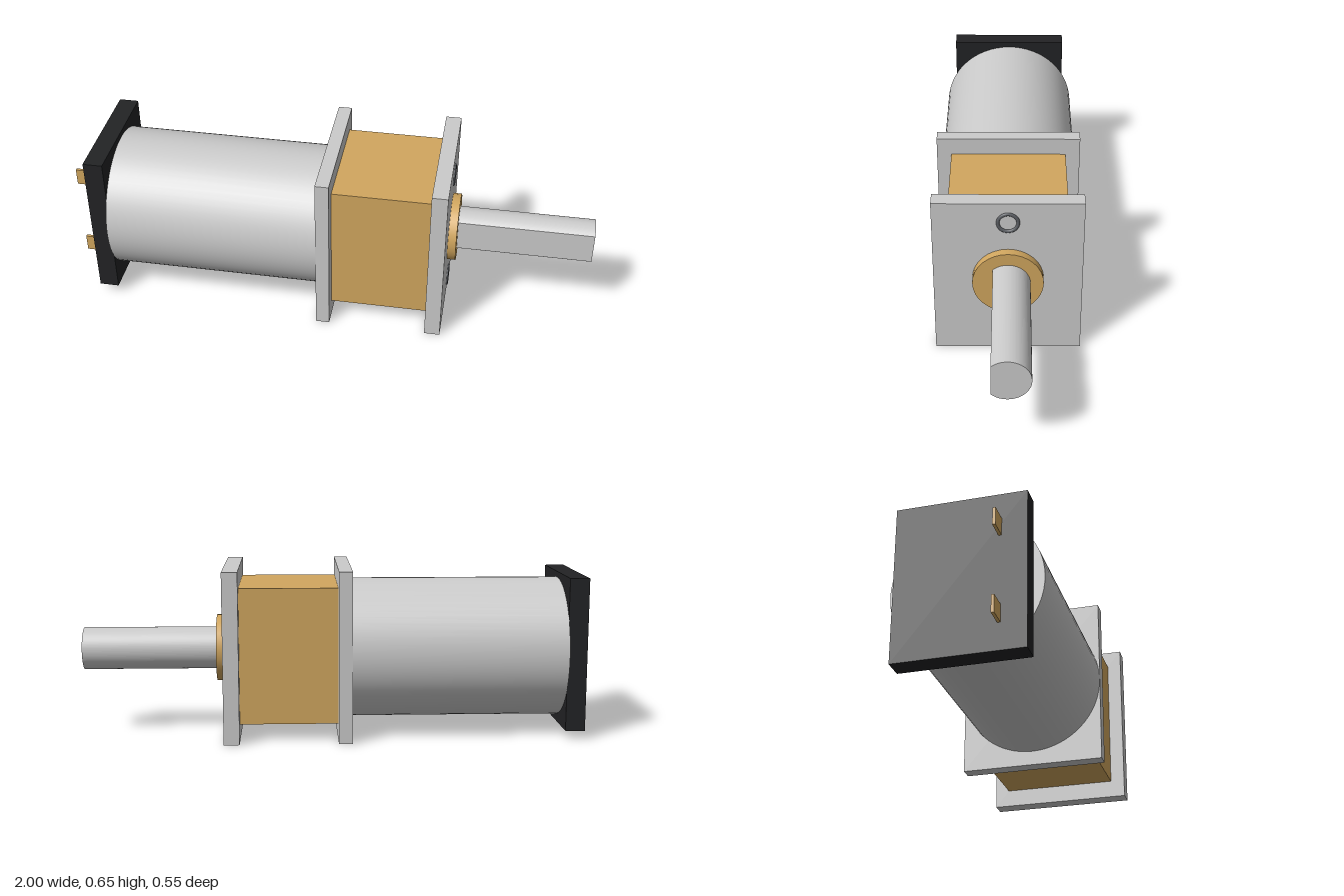
import * as THREE from 'three';

const AXIS_Y = 0.328;
const STEEL = 0xcccccc, BRASS = 0xd2a75f, BLACK = 0x222325, DARK = 0x5c5f64;

export function createModel() {
  const group = new THREE.Group();

  const add = (name, geometry, color, x, y = AXIS_Y, z = 0) => {
    const mesh = new THREE.Mesh(geometry, new THREE.MeshStandardMaterial({ color }));
    mesh.name = name;
    mesh.position.set(x, y, z);
    group.add(mesh);
  };
  // Box and cylinder spanning x0..x1 along the motor axis
  const block = (name, color, x0, x1, h, d, y, z) =>
    add(name, new THREE.BoxGeometry(x1 - x0, h, d), color, (x0 + x1) / 2, y, z);
  const drum = (name, color, x0, x1, r, sides) =>
    add(name, new THREE.CylinderGeometry(r, r, x1 - x0, sides).rotateZ(-Math.PI / 2), color, (x0 + x1) / 2);

  // Motor can and its rear cap
  drum('motorCan', STEEL, -0.855, -0.035, 0.272, 64);
  block('endCap', BLACK, -0.93, -0.855, 0.588, 0.466);

  // Solder terminals
  for (const side of [-1, 1]) {
    block('terminal', BRASS, -1, -0.93, 0.065, 0.011, AXIS_Y + 0.002 + side * 0.163, 0.138);
  }

  // Gearbox between two plates
  block('rearPlate', STEEL, -0.037, 0.015, 0.654, 0.545);
  block('gearbox', BRASS, 0.015, 0.39, 0.52, 0.436);
  block('frontPlate', STEEL, 0.39, 0.45, 0.654, 0.545);

  // Rims of the mounting holes
  for (const side of [-1, 1]) {
    add('mountingHoleRim', new THREE.TorusGeometry(0.0365, 0.0065, 10, 32).rotateY(Math.PI / 2),
      DARK, 0.45, AXIS_Y + side * 0.246);
  }

  // Bushing and D-shaped output shaft, its flat facing the front
  drum('bushing', BRASS, 0.45, 0.482, 0.13, 32);
  const r = 0.082, a = Math.acos(0.055 / r);
  const profile = new THREE.Shape().absarc(0, 0, r, Math.PI + a, 3 * Math.PI - a, false);
  profile.closePath();
  const shaft = new THREE.ExtrudeGeometry(profile, { depth: 0.53, bevelEnabled: false, curveSegments: 40 });
  add('outputShaft', shaft.rotateY(Math.PI / 2), STEEL, 0.47);

  return group;
}
